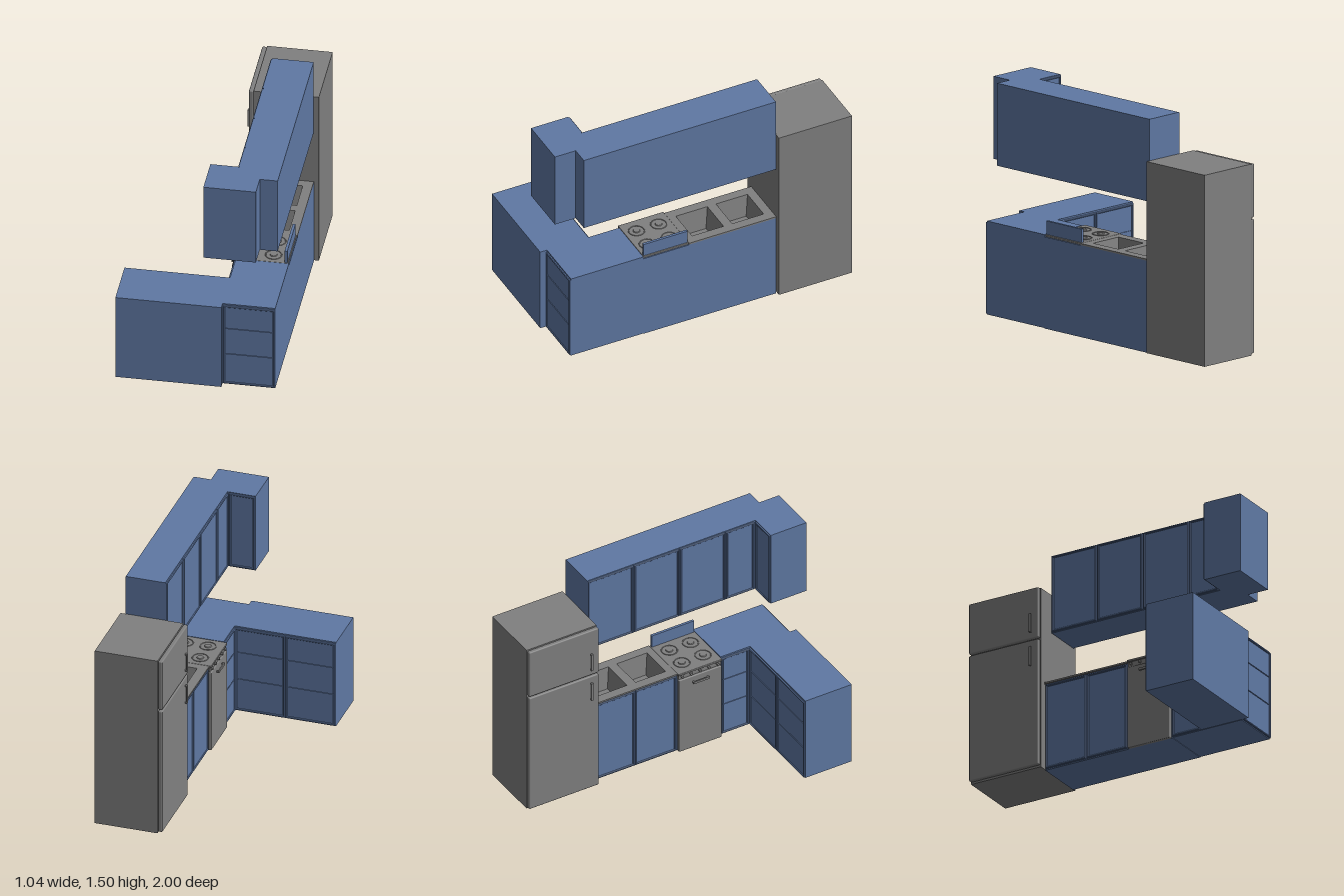
import * as THREE from 'three';
import { RoundedBoxGeometry } from 'three/addons/geometries/RoundedBoxGeometry.js';

const blue = new THREE.MeshStandardMaterial({ color: 0x5f78a3 });
blue.name = 'cabinet blue';
const grey = new THREE.MeshStandardMaterial({ color: 0x808080 });
grey.name = 'appliance grey';

function add(parent, name, geometry, material) {
  const mesh = new THREE.Mesh(geometry, material);
  mesh.name = name;
  parent.add(mesh);
  return mesh;
}

// Box given by its minimum and maximum along each axis
function box(parent, name, material, [x0, x1], [y0, y1], [z0, z1], radius = 0) {
  const size = [x1 - x0, y1 - y0, z1 - z0];
  const geometry = radius ? new RoundedBoxGeometry(...size, 2, radius) : new THREE.BoxGeometry(...size);
  const mesh = add(parent, name, geometry, material);
  mesh.position.set((x0 + x1) / 2, (y0 + y1) / 2, (z0 + z1) / 2);
  return mesh;
}

function rectPath(Type, x0, x1, y0, y1) {
  const p = new Type();
  p.moveTo(x0, y0).lineTo(x1, y0).lineTo(x1, y1).lineTo(x0, y1).closePath();
  return p;
}

// Slab in plan with rectangular holes through it
function piercedSlab(parent, name, material, [x0, x1], [y0, y1], [z0, z1], holes) {
  const shape = rectPath(THREE.Shape, x0, x1, -z1, -z0);
  for (const h of holes) shape.holes.push(rectPath(THREE.Path, h.x[0], h.x[1], -h.z[1], -h.z[0]));
  const geometry = new THREE.ExtrudeGeometry(shape, { depth: y1 - y0, bevelEnabled: false });
  geometry.rotateX(-Math.PI / 2).translate(0, y0, 0);
  return add(parent, name, geometry, material);
}

// Bevelled frame with recessed panels; cuts are the heights of the gaps between drawers
function framedFront(parent, name, w, h, cuts, x, y, z, turn) {
  const group = new THREE.Group();
  group.name = name;
  const rim = 0.013, b = 0.004;
  const shape = rectPath(THREE.Shape, -w / 2, w / 2, 0, h);
  shape.holes.push(rectPath(THREE.Path, -w / 2 + rim, w / 2 - rim, rim, h - rim));
  const frame = new THREE.ExtrudeGeometry(shape, {
    depth: 0.007, bevelThickness: b, bevelSize: b, bevelOffset: -b, bevelSegments: 1,
  });
  add(group, 'frame', frame, blue);
  const edges = [rim - 0.002, ...cuts, h - rim + 0.002];
  for (let i = 0; i < edges.length - 1; i++) {
    box(group, 'panel', blue, [-w / 2 + rim + 0.002, w / 2 - rim - 0.002],
      [edges[i] + 0.003, edges[i + 1] - 0.003], [-0.003, 0.005]);
  }
  group.position.set(x, y, z);
  group.rotation.y = turn;
  parent.add(group);
}

// Open tapered bowl whose faces look inward
function basin(parent, { x, z }, top, depth) {
  const geometry = new THREE.BoxGeometry(x[1] - x[0], depth, z[1] - z[0]);
  const p = geometry.attributes.position;
  for (let i = 0; i < p.count; i++) {
    if (p.getY(i) < 0) p.setXYZ(i, p.getX(i) * 0.82, p.getY(i), p.getZ(i) * 0.82);
  }
  const index = Array.from(geometry.index.array).filter((_, i) => i < 12 || i >= 18);
  geometry.clearGroups();
  geometry.setIndex(index.reverse());
  geometry.computeVertexNormals();
  const mesh = add(parent, 'sinkBasin', geometry, grey);
  mesh.position.set((x[0] + x[1]) / 2, top - depth / 2, (z[0] + z[1]) / 2);
}

export function createModel() {
  const kitchen = new THREE.Group();
  kitchen.name = 'cornerKitchen';
  const section = (name) => {
    const g = new THREE.Group();
    g.name = name;
    kitchen.add(g);
    return g;
  };
  const faceLeft = -Math.PI / 2, faceBack = Math.PI;
  const drawerCuts = [0.225, 0.415];

  // Refrigerator
  const fridge = section('refrigerator');
  box(fridge, 'fridgeBody', grey, [0.104, 0.517], [0.01, 1.24], [-1, -0.49]);
  for (const [y0, y1, h0, h1] of [[0.02, 0.882, 0.705, 0.835], [0.893, 1.237, 0.935, 1.06]]) {
    box(fridge, 'fridgeDoor', grey, [0.073, 0.102], [y0, y1], [-0.998, -0.492], 0.008);
    box(fridge, 'fridgeHandle', grey, [0.058, 0.066], [h0, h1], [-0.555, -0.54]);
    for (const y of [h0, h1 - 0.012]) {
      box(fridge, 'handleMount', grey, [0.064, 0.076], [y, y + 0.012], [-0.553, -0.542]);
    }
  }

  // Base cabinets
  const base = section('baseCabinets');
  box(base, 'peninsula', blue, [-0.518, 0.152], [0.008, 0.605], [0.655, 0.992]);
  box(base, 'cornerCabinet', blue, [0.15, 0.485], [0.005, 0.605], [0.44, 0.945]);
  framedFront(base, 'endDrawers', 0.33, 0.585, drawerCuts, 0.32, 0.01, 0.945, 0);
  for (const x of [-0.35, -0.017]) {
    framedFront(base, 'peninsulaDrawers', 0.33, 0.585, drawerCuts, x, 0.01, 0.655, faceBack);
  }
  framedFront(base, 'sideDrawers', 0.2, 0.585, drawerCuts, 0.15, 0.01, 0.542, faceLeft);

  // Sink cabinet with two bowls
  const sink = section('sinkUnit');
  const bowls = [[-0.43, -0.21], [-0.15, 0.07]].map((z) => ({ x: [0.2, 0.425], z }));
  box(sink, 'sinkCabinet', blue, [0.15, 0.485], [0.002, 0.4], [-0.487, 0.12]);
  piercedSlab(sink, 'sinkCabinetTop', blue, [0.15, 0.485], [0.4, 0.592], [-0.487, 0.12], bowls);
  piercedSlab(sink, 'sinkTop', grey, [0.138, 0.485], [0.592, 0.603], [-0.487, 0.12], bowls);
  for (const bowl of bowls) {
    basin(sink, bowl, 0.602, 0.15);
    const drain = add(sink, 'drain', new THREE.CylinderGeometry(0.02, 0.02, 0.004, 20), grey);
    drain.position.set(0.3125, 0.455, (bowl.z[0] + bowl.z[1]) / 2);
  }
  for (const z of [-0.335, -0.034]) {
    framedFront(sink, 'sinkDoor', 0.295, 0.575, [], 0.15, 0.01, z, faceLeft);
  }

  // Cooker
  const cooker = section('cooker');
  box(cooker, 'cookerBody', blue, [0.15, 0.485], [0.002, 0.59], [0.12, 0.44]);
  box(cooker, 'cooktop', grey, [0.125, 0.48], [0.59, 0.605], [0.12, 0.438], 0.004);
  box(cooker, 'ovenDoor', grey, [0.125, 0.152], [0, 0.555], [0.124, 0.434], 0.006);
  box(cooker, 'controlPanel', grey, [0.135, 0.152], [0.558, 0.592], [0.124, 0.434]);
  box(cooker, 'backGuard', blue, [0.457, 0.474], [0.6, 0.692], [0.125, 0.433]);
  box(cooker, 'ovenHandle', grey, [0.106, 0.114], [0.505, 0.52], [0.22, 0.335]);
  for (const z of [0.22, 0.325]) {
    box(cooker, 'handleMount', grey, [0.11, 0.128], [0.507, 0.518], [z, z + 0.01]);
  }
  for (let i = 0; i < 5; i++) {
    const knob = add(cooker, 'knob', new THREE.CylinderGeometry(0.009, 0.009, 0.014, 14), grey);
    knob.rotation.z = Math.PI / 2;
    knob.position.set(0.129, 0.575, 0.15 + i * 0.0645);
  }
  for (const x of [0.225, 0.375]) {
    for (const z of [0.203, 0.357]) {
      const ring = add(cooker, 'burnerRing', new THREE.TorusGeometry(0.05, 0.004, 6, 32), grey);
      ring.rotation.x = Math.PI / 2;
      ring.position.set(x, 0.605, z);
      const cap = add(cooker, 'burnerCap', new THREE.CylinderGeometry(0.02, 0.024, 0.006, 24), grey);
      cap.position.set(x, 0.607, z);
    }
  }

  // Wall cabinets
  const wall = section('wallCabinets');
  box(wall, 'wallRun', blue, [0.225, 0.485], [0.975, 1.505], [-0.485, 0.855]);
  box(wall, 'wallWing', blue, [0.04, 0.372], [0.975, 1.505], [0.74, 1]);
  for (let i = 0; i < 3; i++) {
    framedFront(wall, 'wallDoor', 0.328, 0.52, [], 0.225, 0.98, -0.318 + i * 0.334, faceLeft);
  }
  framedFront(wall, 'cornerDoor', 0.208, 0.52, [], 0.225, 0.98, 0.624, faceLeft);
  framedFront(wall, 'wingDoor', 0.17, 0.52, [], 0.128, 0.98, 0.74, faceBack);

  return kitchen;
}
